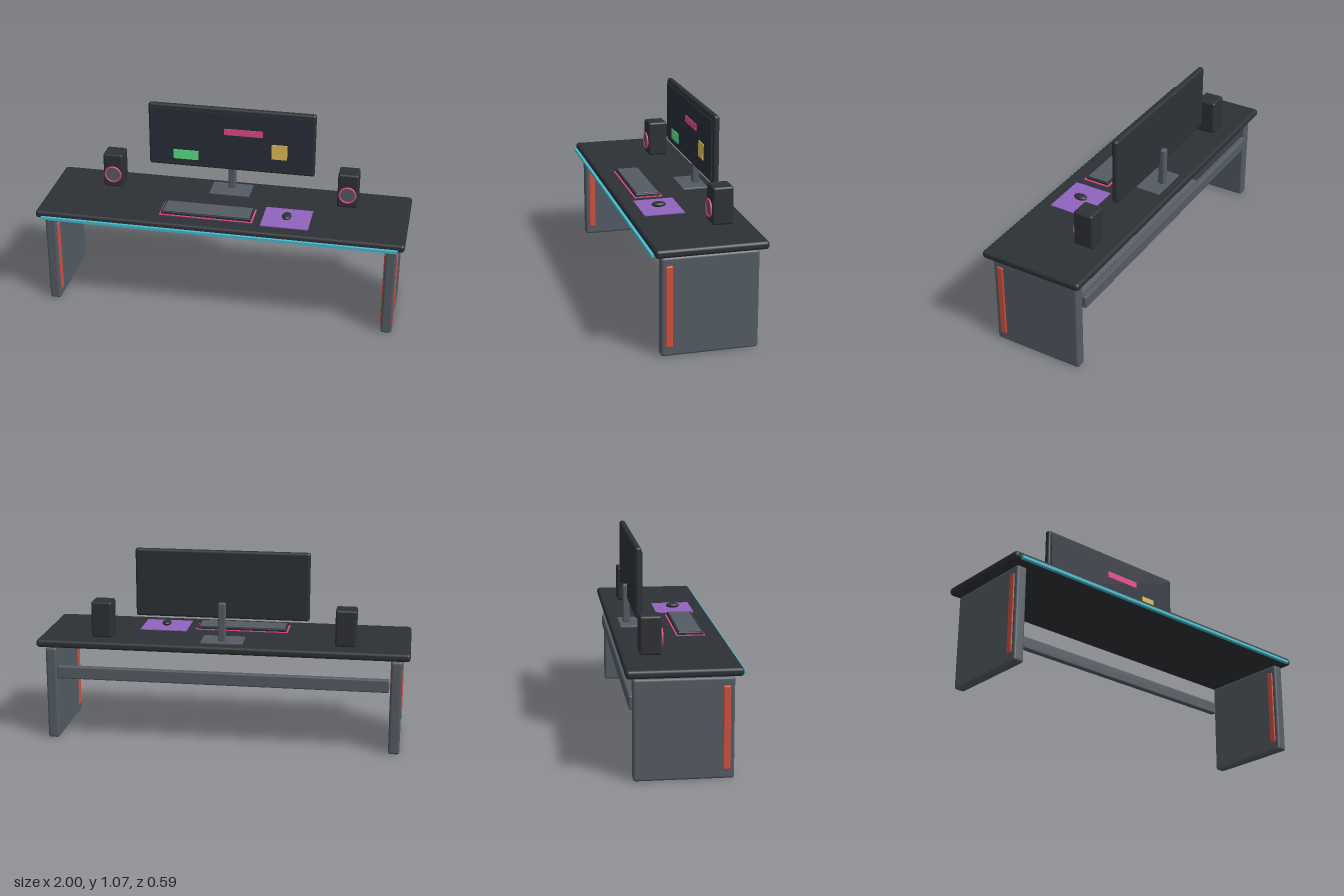
import * as THREE from 'three';
import { RoundedBoxGeometry } from 'three/addons/geometries/RoundedBoxGeometry.js';

const mat = (color) => new THREE.MeshStandardMaterial({ color });

export function createModel() {
  const model = new THREE.Group();
  const dark = mat(0x2d3035), steel = mat(0x535b63), glass = mat(0x282d3a);
  const pink = mat(0xe0488a), red = mat(0xd0503f), cyan = mat(0x45bcd0);
  const purple = mat(0x8f63bd), yellow = mat(0xe0be58), green = mat(0x5ee08a);

  function add(name, geometry, material, x, y, z, parent = model) {
    const mesh = new THREE.Mesh(geometry, material);
    mesh.name = name;
    mesh.position.set(x, y, z);
    parent.add(mesh);
    return mesh;
  }

  // Box given by its extents on each axis; r rounds the edges
  function box(name, material, [x0, x1], [y0, y1], [z0, z1], r = 0, parent = model) {
    const w = x1 - x0, h = y1 - y0, d = z1 - z0;
    const geometry = r ? new RoundedBoxGeometry(w, h, d, 3, r) : new THREE.BoxGeometry(w, h, d);
    return add(name, geometry, material, (x0 + x1) / 2, (y0 + y1) / 2, (z0 + z1) / 2, parent);
  }

  // Desk
  box('desktop', dark, [-1, 1], [0.525, 0.567], [-0.291, 0.279], 0.016);
  box('frontLightStrip', cyan, [-0.965, 0.965], [0.526, 0.541], [0.274, 0.294]);
  box('crossbar', steel, [-0.895, 0.895], [0.347, 0.417], [-0.269, -0.235], 0.008);

  for (const side of [-1, 1]) {
    const label = side > 0 ? 'left' : 'right';

    // Side panel with an accent strip showing on both faces
    const leg = new THREE.Group();
    leg.name = label + 'Leg';
    leg.position.x = side * 0.93;
    model.add(leg);
    box('legPanel', steel, [-0.03, 0.03], [0, 0.514], [-0.255, 0.242], 0.013, leg);
    box('legAccent', red, [-0.036, 0.036], [0.046, 0.472], [0.183, 0.221], 0.008, leg);

    // Speaker with a glowing ring around its cone
    const speaker = new THREE.Group();
    speaker.name = label + 'Speaker';
    speaker.position.x = side * 0.658;
    model.add(speaker);
    box('speakerCabinet', dark, [-0.056, 0.056], [0.567, 0.765], [-0.196, -0.086], 0.012, speaker);
    add('speakerRing', new THREE.TorusGeometry(0.044, 0.005, 10, 40), pink, 0, 0.646, -0.081, speaker);
    const cone = new THREE.CylinderGeometry(0.041, 0.041, 0.008, 32).rotateX(Math.PI / 2);
    add('speakerCone', cone, steel, 0, 0.646, -0.084, speaker);
  }

  // Monitor
  const monitor = new THREE.Group();
  monitor.name = 'monitor';
  model.add(monitor);
  box('monitorBase', steel, [-0.113, 0.113], [0.565, 0.579], [-0.24, -0.1], 0.005, monitor);
  box('monitorPost', steel, [-0.02, 0.02], [0.575, 0.787], [-0.218, -0.18], 0.008, monitor);
  box('monitorCase', dark, [-0.465, 0.465], [0.698, 1.065], [-0.194, -0.16], 0.014, monitor);
  box('screen', glass, [-0.445, 0.445], [0.724, 1.039], [-0.165, -0.154], 0, monitor);
  box('pinkWindow', pink, [-0.037, 0.177], [0.914, 0.95], [-0.156, -0.149], 0, monitor);
  box('yellowWindow', yellow, [0.227, 0.313], [0.791, 0.877], [-0.156, -0.149], 0, monitor);
  box('greenWindow', green, [-0.323, -0.183], [0.747, 0.801], [-0.156, -0.149], 0, monitor);

  // Keyboard with underglow
  box('keyboardGlow', pink, [-0.329, 0.181], [0.565, 0.571], [0.036, 0.188]);
  box('keyboardBody', dark, [-0.321, 0.173], [0.569, 0.586], [0.043, 0.181], 0.006);
  box('keyField', steel, [-0.311, 0.163], [0.58, 0.589], [0.053, 0.171], 0.003);

  // Mouse and pad
  box('mousePad', purple, [0.227, 0.484], [0.565, 0.571], [-0.008, 0.206]);
  const mouse = add('mouse', new THREE.SphereGeometry(1, 32, 20), dark, 0.355, 0.584, 0.1);
  mouse.scale.set(0.025, 0.014, 0.038);

  return model;
}
